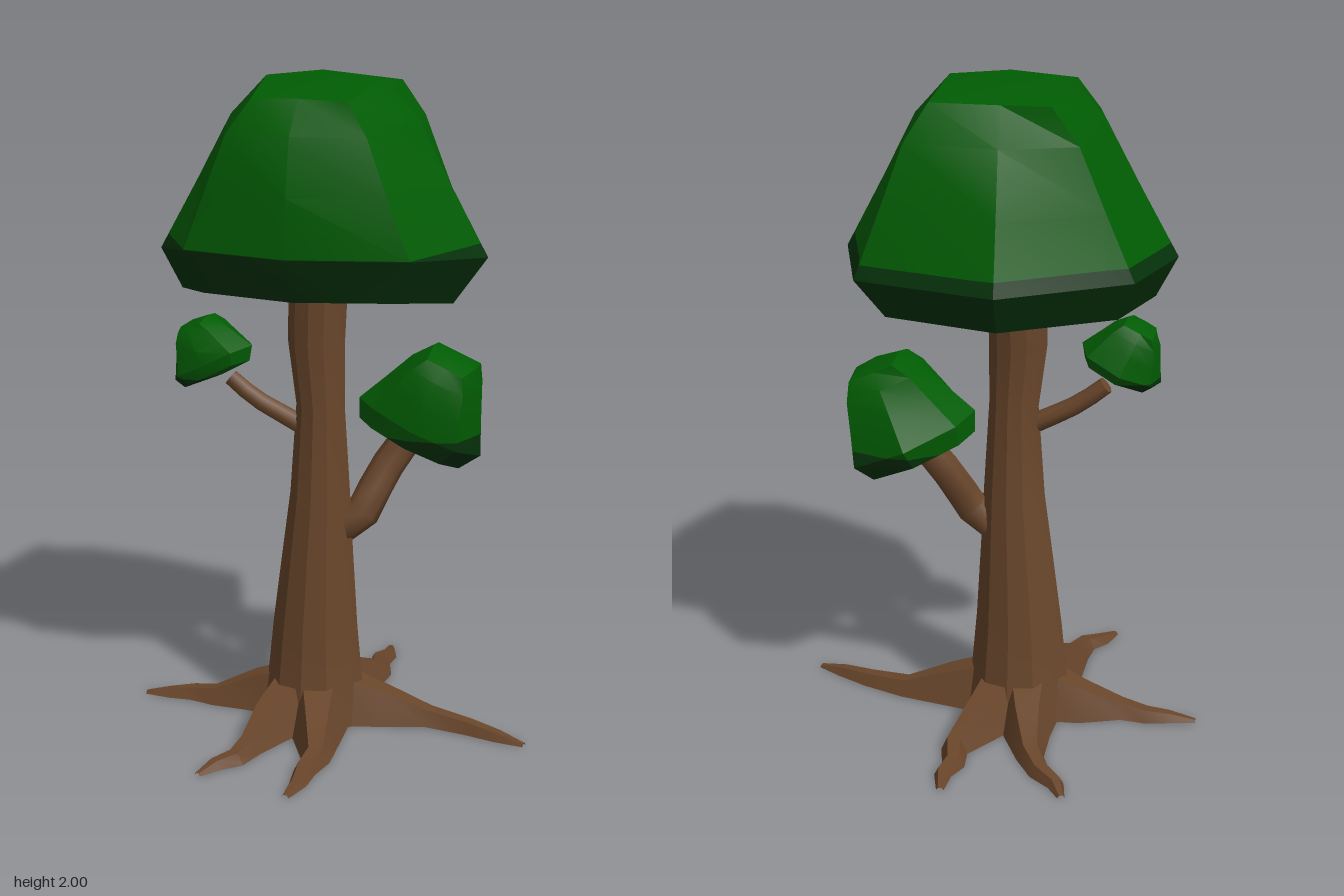
import * as THREE from 'three';
import { toCreasedNormals, mergeGeometries } from 'three/addons/utils/BufferGeometryUtils.js';

const V = (x, y, z) => new THREE.Vector3(x, y, z);

// Skins a stack of equal-sized rings; a start or end point closes that end with a fan.
function loft(rings, { start, end, wrap = true, crease = 0.5 }) {
  const n = rings[0].length, last = (rings.length - 1) * n;
  const pts = rings.flat();
  const a = start && pts.push(start) - 1;
  const b = end && pts.push(end) - 1;
  const tris = [];
  for (let i = 0; i < (wrap ? n : n - 1); i++) {
    const j = (i + 1) % n;
    for (let o = 0; o < last; o += n) {
      tris.push([o + i, o + j, o + n + j], [o + i, o + n + j, o + n + i]);
    }
    if (start) tris.push([a, j, i]);
    if (end) tris.push([b, last + i, last + j]);
  }
  // Turn every face outward, whichever way the rings run
  const mid = pts.reduce((s, p) => s.add(p), V(0, 0, 0)).divideScalar(pts.length);
  const rel = pts.map(p => p.clone().sub(mid));
  const volume = tris.reduce((s, [p, q, r]) => s + rel[p].dot(V(0, 0, 0).crossVectors(rel[q], rel[r])), 0);
  if (volume < 0) tris.forEach(t => t.reverse());
  const geo = new THREE.BufferGeometry().setFromPoints(pts);
  geo.setIndex(tris.flat());
  return toCreasedNormals(geo, crease);
}

// Cuts a geometry along a level plane into [above, below]
function splitAtHeight(geo, h) {
  const { position, normal } = geo.attributes;
  const read = (attr, i) => V(0, 0, 0).fromBufferAttribute(attr, i);
  return [1, -1].map(side => {
    const verts = [];
    for (let t = 0; t < position.count; t += 3) {
      const tri = [t, t + 1, t + 2].map(i => ({ p: read(position, i), n: read(normal, i) }));
      const poly = [];
      tri.forEach((a, i) => {
        const b = tri[(i + 1) % 3];
        const da = (a.p.y - h) * side, db = (b.p.y - h) * side;
        if (da >= 0) poly.push(a);
        if (da * db < 0) {
          const f = da / (da - db);
          poly.push({ p: a.p.clone().lerp(b.p, f), n: a.n.clone().lerp(b.n, f).normalize() });
        }
      });
      for (let k = 1; k < poly.length - 1; k++) verts.push(poly[0], poly[k], poly[k + 1]);
    }
    const part = new THREE.BufferGeometry().setFromPoints(verts.map(v => v.p));
    part.setAttribute('normal', new THREE.Float32BufferAttribute(verts.flatMap(v => v.n.toArray()), 3));
    return part;
  });
}

// Leaf dome standing on y = 0: a wide rim rising to a smaller crown, and a
// tucked-in underside. The two meet in a hard edge at the rim.
function domeGeometry() {
  const rim = [[-0.10, -0.46], [0.32, -0.39], [0.45, -0.06], [0.30, 0.26],
    [-0.04, 0.34], [-0.36, 0.28], [-0.51, 0.07], [-0.44, -0.22]];
  const crown = [[-0.06, 1.95, -0.235], [0.14, 1.95, -0.25], [0.15, 1.98, 0], [0.11, 1.94, 0.23],
    [-0.03, 1.945, 0.235], [-0.17, 1.94, 0.23], [-0.20, 1.98, 0], [-0.20, 1.95, -0.22]];
  // Rows: rise, inward taper, inward taper of the steeper front in depth
  const rows = [[0, 0, 0], [0.4, 0.35, 0.02], [0.78, 0.67, 0.3], [1, 1, 1]];
  const layers = rows.map(([f, g, gFront]) => rim.map(([x, z], i) => {
    const [cx, cy, cz] = crown[i], front = z > 0.2;
    return V(THREE.MathUtils.lerp(x, cx, g), THREE.MathUtils.lerp(front ? 1.51 : 1.47, cy, f),
      THREE.MathUtils.lerp(z, cz, front ? gFront : g));
  }));
  const under = rim.map(([x, z]) =>
    V(x * (x > 0.2 ? 0.78 : 0.88), z > 0.2 ? 1.38 : x > 0.4 ? 1.33 : 1.35, z * 0.84));
  return mergeGeometries([
    loft(layers, { end: V(-0.03, 2, 0) }),
    loft([under, layers[0]], { start: V(-0.03, 1.31, -0.06), crease: 0.6 }),
  ]).translate(0, -1.33, 0);
}

// Trunk rows: height, centre x, centre z, half width, half depth
function trunkGeometry() {
  const rows = [[0, -0.065, -0.02, 0.175, 0.17], [0.12, -0.064, -0.02, 0.153, 0.15],
    [0.3, -0.062, -0.018, 0.135, 0.133], [0.55, -0.052, -0.015, 0.111, 0.113],
    [0.72, -0.045, -0.015, 0.095, 0.098], [1.0, -0.042, -0.01, 0.076, 0.076],
    [1.2, -0.055, -0.01, 0.089, 0.086], [1.36, -0.05, -0.015, 0.091, 0.095]];
  const sides = 12;
  return loft(rows.map(([y, x, z, w, d]) => Array.from({ length: sides }, (_, i) => {
    const a = (i / sides) * Math.PI * 2;
    const k = i % 2 ? 0.95 : 1;
    return V(x + Math.cos(a) * w * k, y, z + Math.sin(a) * d * (i % 3 ? k : 1));
  })), { end: V(-0.05, 1.36, -0.015) });
}

// Root: a tent-shaped section, open below, that narrows along a ground path
function rootGeometry(path) {
  const halfWidth = [0.1, 0.07, 0.042, 0.034, 0.026, 0.011];
  const height = [0.15, 0.1, 0.047, 0.035, 0.025, 0.008];
  return loft(path.map(([x, z], i) => {
    const p = path[Math.max(i - 1, 0)], q = path[Math.min(i + 1, path.length - 1)];
    const len = Math.hypot(q[0] - p[0], q[1] - p[1]);
    const sx = -(q[1] - p[1]) / len, sz = (q[0] - p[0]) / len;
    return [[-1, 0], [-0.5, 1], [0.5, 1], [1, 0]].map(([s, h]) =>
      V(x + sx * s * halfWidth[i], h * height[i], z + sz * s * halfWidth[i]));
  }), { wrap: false });
}

// Branch: a tapering tube with closed ends
function branchGeometry(points, r0, r1) {
  const curve = new THREE.CatmullRomCurve3(points.map(p => V(...p)));
  const steps = 5, sides = 8;
  const { normals, binormals } = curve.computeFrenetFrames(steps);
  return loft(normals.map((nrm, k) => Array.from({ length: sides }, (_, i) => {
    const a = (i / sides) * Math.PI * 2, r = THREE.MathUtils.lerp(r0, r1, k / steps);
    return curve.getPointAt(k / steps)
      .addScaledVector(nrm, Math.cos(a) * r).addScaledVector(binormals[k], Math.sin(a) * r);
  })), { start: curve.getPointAt(0), end: curve.getPointAt(1), crease: 0.9 });
}

export function createModel() {
  const material = (name, color, side = THREE.FrontSide) =>
    Object.assign(new THREE.MeshStandardMaterial({ color, side }), { name });
  const bark = material('bark brown', 0x69462b, THREE.DoubleSide);
  const leaf = material('leaf green', 0x015c03);
  const darkLeaf = material('dark leaf green', 0x05320a);

  const tree = new THREE.Group();
  tree.name = 'tree';
  const add = (name, geo, mat) => {
    const mesh = new THREE.Mesh(geo, mat);
    mesh.name = name;
    tree.add(mesh);
  };

  add('trunk', trunkGeometry(), bark);

  // Roots as ground paths of x, z
  const roots = {
    rightRoot: [[-0.13, -0.02], [-0.27, -0.03], [-0.39, -0.005], [-0.47, -0.015], [-0.54, -0.002], [-0.62, 0.005]],
    leftRoot: [[0, -0.02], [0.16, -0.03], [0.30, -0.04], [0.43, -0.012], [0.53, 0.02], [0.615, 0.045]],
    backRightRoot: [[-0.11, -0.1], [-0.14, -0.22], [-0.18, -0.34], [-0.23, -0.42], [-0.29, -0.47], [-0.32, -0.53]],
    backLeftRoot: [[-0.03, -0.1], [0.01, -0.23], [0.05, -0.36], [0.03, -0.44], [0.045, -0.5], [0.03, -0.58]],
    frontRightRoot: [[-0.11, 0.06], [-0.15, 0.2], [-0.17, 0.32], [-0.185, 0.4], [-0.23, 0.45], [-0.26, 0.515]],
    frontLeftRoot: [[-0.03, 0.06], [0.01, 0.2], [0.045, 0.33], [0.035, 0.41], [0.04, 0.49], [0.03, 0.575]],
  };
  for (const [name, path] of Object.entries(roots)) add(name, rootGeometry(path), bark);

  add('leftBranch', branchGeometry([[0.02, 0.62, -0.03], [0.085, 0.67, -0.04], [0.125, 0.77, -0.085],
    [0.18, 0.86, -0.12], [0.23, 0.94, -0.135]], 0.055, 0.047), bark);
  add('rightBranch', branchGeometry([[-0.06, 0.92, 0], [-0.15, 0.965, 0.005], [-0.24, 1.015, 0.015],
    [-0.315, 1.075, 0.02]], 0.032, 0.026), bark);

  // Leaf masses: tilted, scaled domes, darker below a level line
  const leafMass = (name, pos, scale, tilt, darkBelow) => {
    const turn = new THREE.Quaternion().setFromAxisAngle(V(0, 0, 1), tilt);
    const place = new THREE.Matrix4().compose(V(...pos), turn, V(...scale));
    const [above, below] = splitAtHeight(domeGeometry().applyMatrix4(place), darkBelow);
    add(name + 'Top', above, leaf);
    add(name + 'Underside', below, darkLeaf);
  };
  leafMass('canopy', [0, 1.33, 0], [1, 1, 1], 0, 1.512);
  leafMass('leftLeafClump', [0.217, 0.855, -0.135], [0.42, 0.49, 0.4], -0.43, 0.91);
  leafMass('rightLeafClump', [-0.325, 1.1, 0.075], [0.27, 0.27, 0.25], 0.46, 1.09);

  return tree;
}
